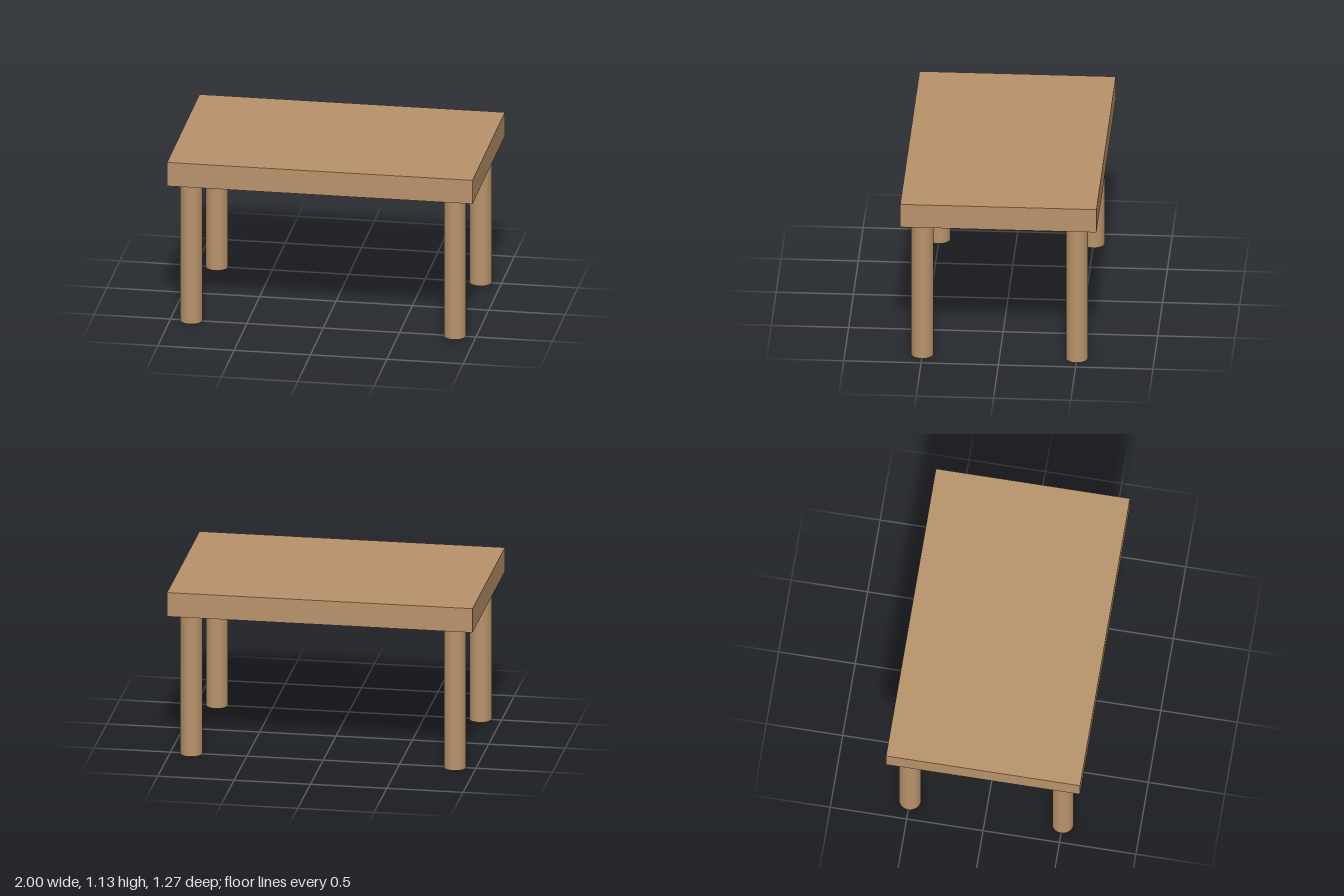
import * as THREE from 'three';

export function createModel() {
  const table = new THREE.Group();
  table.name = 'table';

  const wood = new THREE.MeshStandardMaterial({ color: 0xb8926a });
  wood.name = 'wood';

  const topY = 1.13, legHeight = 0.967, legRadius = 0.0725;

  // Thick rectangular slab
  const slab = topY - legHeight;
  const tabletop = new THREE.Mesh(new THREE.BoxGeometry(2, slab, 1.27), wood);
  tabletop.name = 'tabletop';
  tabletop.position.y = legHeight + slab / 2;
  table.add(tabletop);

  // Four round legs, one near each corner
  const legGeometry = new THREE.CylinderGeometry(legRadius, legRadius, legHeight, 32);
  for (const [side, x] of [['Left', 0.863], ['Right', -0.863]]) {
    for (const [end, z] of [['front', 0.5], ['back', -0.5]]) {
      const leg = new THREE.Mesh(legGeometry, wood);
      leg.name = `${end}${side}Leg`;
      leg.position.set(x, legHeight / 2, z);
      table.add(leg);
    }
  }

  return table;
}
